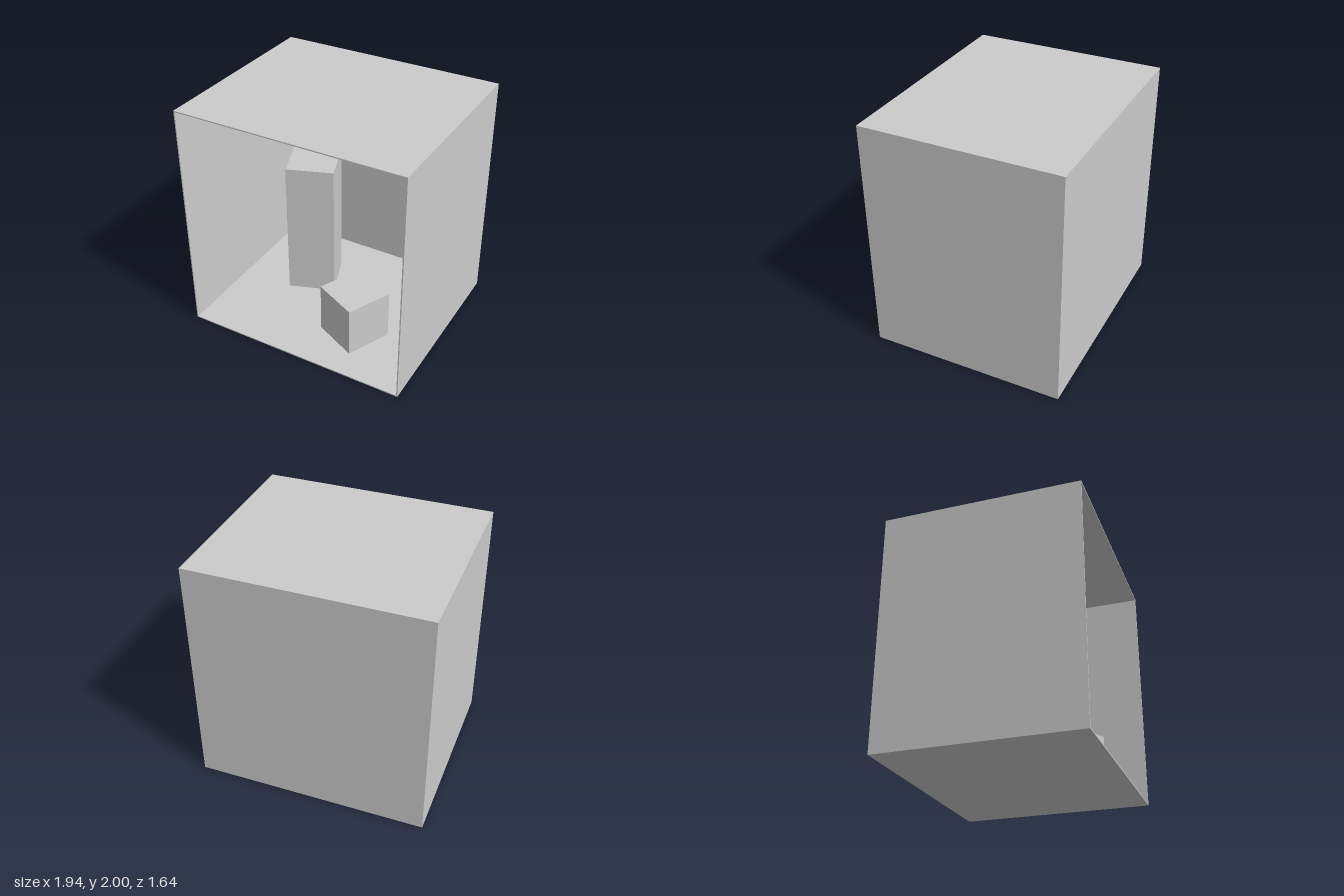
import * as THREE from 'three';

const W = 1.94, H = 2, D = 1.64, T = 0.01; // room size and panel thickness

export function createModel() {
  const room = new THREE.Group();
  room.name = 'openRoom';
  const material = new THREE.MeshStandardMaterial({ color: 0xcccccc, flatShading: true });

  const addBox = (name, size, position, turn = 0) => {
    const mesh = new THREE.Mesh(new THREE.BoxGeometry(...size), material);
    mesh.name = name;
    mesh.position.set(...position);
    mesh.rotation.y = turn;
    room.add(mesh);
  };

  // Thin panels: floor, ceiling, back and two sides; the front stays open
  addBox('floor', [W, T, D], [0, T / 2, 0]);
  addBox('ceiling', [W, T, D], [0, H - T / 2, 0]);
  addBox('backWall', [W, H - 2 * T, T], [0, H / 2, -D / 2 + T / 2]);
  for (const [name, side] of [['leftWall', 1], ['rightWall', -1]]) {
    addBox(name, [T, H - 2 * T, D - T], [side * (W - T) / 2, H / 2, T / 2]);
  }

  // Square blocks standing turned on the floor
  const addBlock = (name, width, top, x, z, turn) =>
    addBox(name, [width, top - T, width], [x, (top + T) / 2, z], turn);
  addBlock('tallBlock', 0.41, 1.24, -0.375, -0.197, 0.355);
  addBlock('shortBlock', 0.405, 0.45, 0.3125, 0.318, -0.437);

  return room;
}
